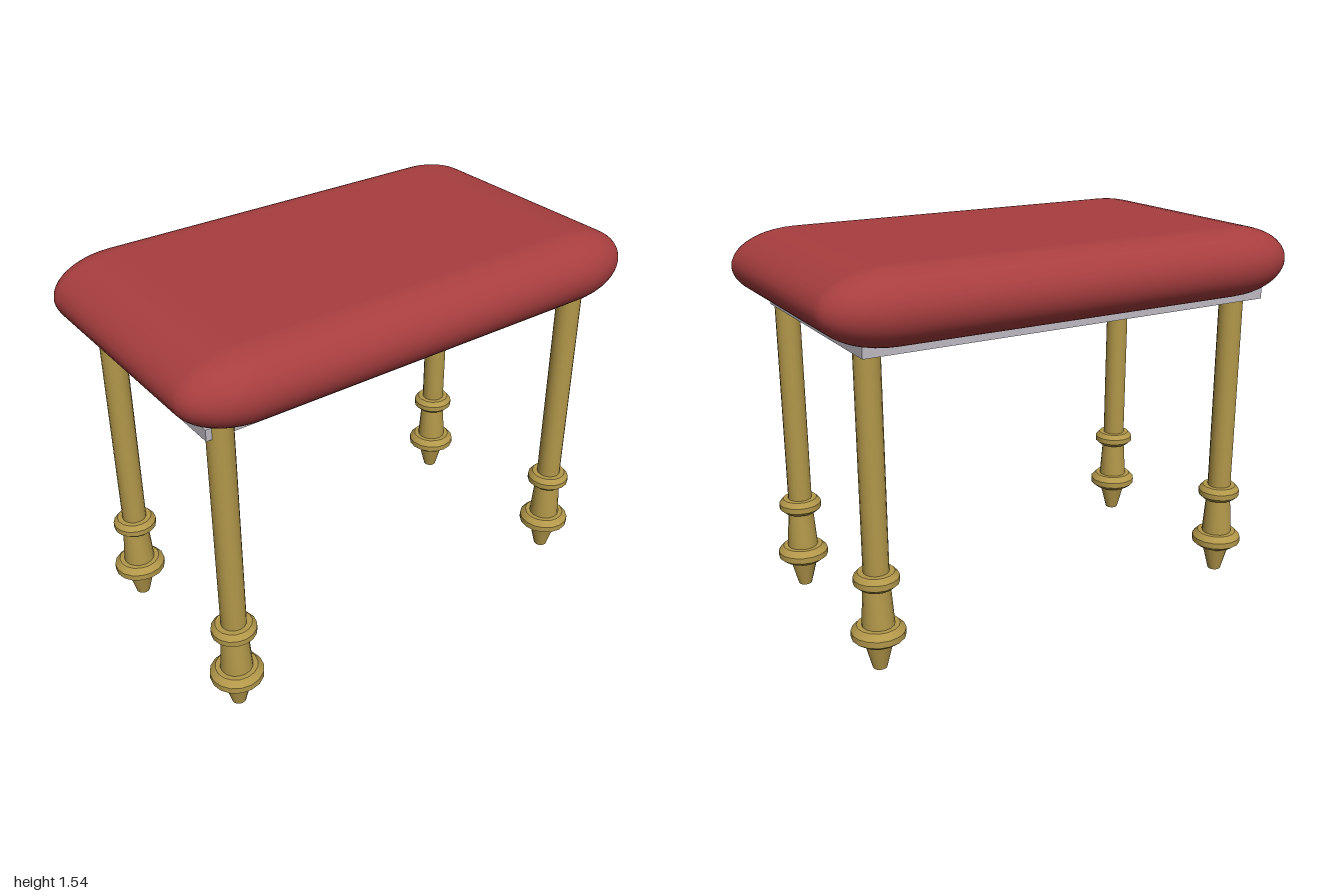
import * as THREE from 'three';
import { toCreasedNormals } from 'three/addons/utils/BufferGeometryUtils.js';
import { RoundedBoxGeometry } from 'three/addons/geometries/RoundedBoxGeometry.js';

const material = (name, color) => {
  const m = new THREE.MeshStandardMaterial({ color });
  m.name = name;
  return m;
};

export function createModel() {
  const red = material('red upholstery', 0xa83e3f);
  const brass = material('brass', 0xb3984a);
  const grey = material('pale grey board', 0xbebac2);

  const stool = new THREE.Group();
  stool.name = 'stool';
  const add = (name, geometry, mat, x, y, z) => {
    const mesh = new THREE.Mesh(geometry, mat);
    mesh.name = name;
    mesh.position.set(x, y, z);
    stool.add(mesh);
  };

  // Padded seat: a box rounded by 1 unit, then squashed so its edges are elliptical
  const rx = 0.27, ry = 0.14, rz = 0.165;
  const cushion = new RoundedBoxGeometry(2 / rx, 2, 1.19 / rz, 6, 1);
  cushion.scale(rx, ry, rz);
  add('cushion', cushion, red, 0, 1.405, 0);

  // Board under the seat
  add('seatBoard', new THREE.BoxGeometry(1.75, 0.045, 0.92), grey, -0.025, 1.2625, 0);

  // Turned leg: tapered foot, lower ring, collar, upper ring, straight shaft
  const profile = [
    [0, 0], [0.028, 0], [0.058, 0.115],
    [0.078, 0.115], [0.104, 0.135], [0.104, 0.16], [0.082, 0.183],
    [0.063, 0.183], [0.052, 0.34],
    [0.068, 0.34], [0.087, 0.357], [0.087, 0.38], [0.07, 0.4],
    [0.049, 0.4], [0.049, 1.29], [0, 1.29],
  ].map(([r, y]) => new THREE.Vector2(r, y));
  const leg = toCreasedNormals(new THREE.LatheGeometry(profile, 16), 0.5);

  for (const [side, x] of [['Left', 0.79], ['Right', -0.835]]) {
    add('front' + side + 'Leg', leg, brass, x, 0, 0.437);
    add('back' + side + 'Leg', leg, brass, x, 0, -0.354);
  }
  return stool;
}
